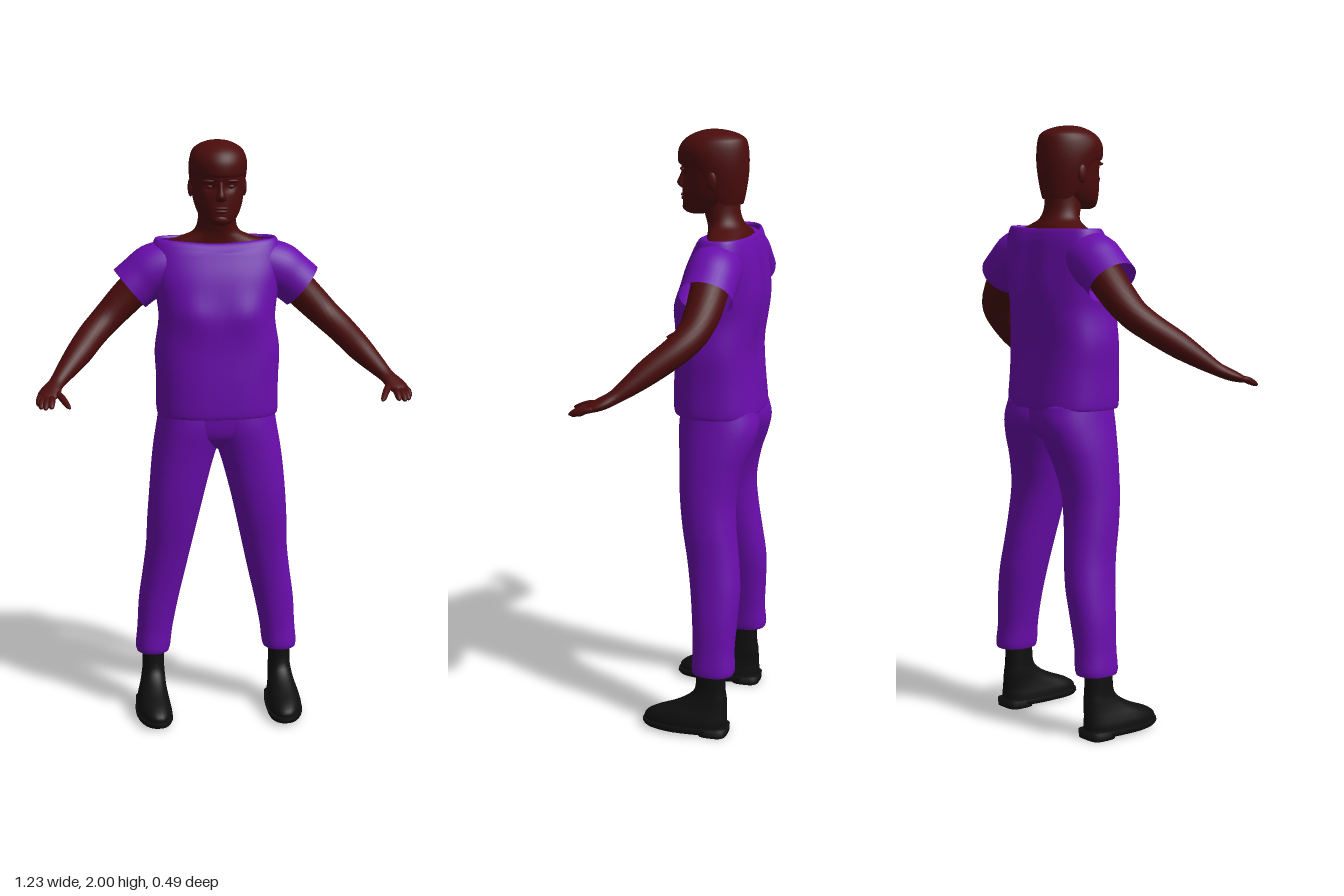
import * as THREE from 'three';

const skin = new THREE.MeshStandardMaterial({ color: 0x4a0c0c, side: THREE.DoubleSide });
const cloth = new THREE.MeshStandardMaterial({ color: 0x6a0dad, side: THREE.DoubleSide });
const leather = new THREE.MeshStandardMaterial({ color: 0x0f0f0f, side: THREE.DoubleSide });
skin.name = 'dark skin'; cloth.name = 'purple cloth'; leather.name = 'black leather';

const UP = new THREE.Vector3(0, 1, 0);
const spline = (a, b, c, d, t) =>
  0.5 * (2 * b + (c - a) * t + (2 * a - 5 * b + 4 * c - d) * t * t + (3 * b - a - 3 * c + d) * t * t * t);

// Smooth skin through rows of [x, y, z, radiusU, radiusV].
// Level rings (listed upward) by default, or rings square to the path when path is true.
function loft(rows, { seg = 32, sub = 4, exp = 2, path = false, cap0 = true, cap1 = true, deform } = {}) {
  const rings = [];
  const last = rows.length - 1;
  const at = (i) => rows[Math.min(Math.max(i, 0), last)];
  for (let i = 0; i < last; i++)
    for (let k = 0; k < sub; k++)
      rings.push(rows[i].map((_, q) => spline(at(i - 1)[q], at(i)[q], at(i + 1)[q], at(i + 2)[q], k / sub)));
  rings.push(rows[last]);
  const centre = (r) => new THREE.Vector3(r[0], r[1], r[2]);
  const pos = [], idx = [], n = rings.length;
  const put = (p) => { if (deform) deform(p); pos.push(p.x, p.y, p.z); };
  const power = (w) => Math.sign(w) * Math.abs(w) ** (2 / exp);
  rings.forEach((r, i) => {
    const u = new THREE.Vector3(1, 0, 0), v = new THREE.Vector3(0, 0, 1);
    if (path) {
      const t = centre(rings[Math.min(i + 1, n - 1)]).sub(centre(rings[Math.max(i - 1, 0)])).normalize();
      u.crossVectors(UP, t).normalize();
      v.crossVectors(u, t);
    }
    for (let j = 0; j < seg; j++) {
      const a = (j / seg) * Math.PI * 2;
      put(centre(r).addScaledVector(u, power(Math.cos(a)) * r[3]).addScaledVector(v, power(Math.sin(a)) * r[4]));
    }
  });
  for (let i = 0; i < n - 1; i++)
    for (let j = 0; j < seg; j++) {
      const a = i * seg + j, b = i * seg + ((j + 1) % seg);
      idx.push(a, a + seg, b, b, a + seg, b + seg);
    }
  const close = (i, flip) => {
    const c = pos.length / 3;
    put(centre(rings[i]));
    for (let j = 0; j < seg; j++) {
      const a = i * seg + j, b = i * seg + ((j + 1) % seg);
      idx.push(c, flip ? b : a, flip ? a : b);
    }
  };
  if (cap0) close(0, false);
  if (cap1) close(n - 1, true);
  const g = new THREE.BufferGeometry();
  g.setAttribute('position', new THREE.Float32BufferAttribute(pos, 3));
  g.setIndex(idx);
  g.computeVertexNormals();
  return g;
}

function mirrored(geo) {
  const g = geo.clone().applyMatrix4(new THREE.Matrix4().makeScale(-1, 1, 1));
  const ix = g.index.array;
  for (let i = 0; i < ix.length; i += 3) [ix[i], ix[i + 1]] = [ix[i + 1], ix[i]];
  g.computeVertexNormals();
  return g;
}

// Row from [y, xMin, xMax, zFront, zBack]
const span = ([y, x0, x1, zf, zb]) => [(x0 + x1) / 2, y, (zf + zb) / 2, (x1 - x0) / 2, (zf - zb) / 2];
// Row symmetric about x = 0 from [y, halfWidth, zFront, zBack]
const mid = ([y, w, zf, zb]) => span([y, -w, w, zf, zb]);
const blob = (x, y, z, a, b, c) => new THREE.SphereGeometry(1, 20, 14).scale(a, b, c).translate(x, y, z);
const bump = (d, w) => Math.exp(-((d / w) ** 2));

export function createModel() {
  const model = new THREE.Group();
  const add = (name, geo, mat) => {
    const m = new THREE.Mesh(geo, mat);
    m.name = name;
    model.add(m);
  };
  const pair = (name, geo, mat) => {
    add('left ' + name, geo, mat);
    add('right ' + name, mirrored(geo), mat);
  };

  // Shirt body, open at hem and neckline, with chest and spine relief
  add('shirt body', loft([
    [1.082, 0.198, 0.04, -0.235], [1.095, 0.206, 0.048, -0.242], [1.2, 0.206, 0.047, -0.232],
    [1.3, 0.21, 0.042, -0.226], [1.4, 0.196, 0.04, -0.235], [1.47, 0.202, 0.028, -0.238],
    [1.55, 0.215, 0.01, -0.234], [1.62, 0.218, -0.02, -0.225], [1.66, 0.209, -0.038, -0.214],
    [1.672, 0.2, -0.055, -0.205], [1.664, 0.192, -0.078, -0.197],
  ].map(mid), {
    seg: 56, exp: 2.6, cap0: false, cap1: false,
    deform: (p) => {
      if (p.z < -0.15) p.z += 0.014 * bump(p.x, 0.03) * bump(p.y - 1.42, 0.2) - 0.012 * bump(Math.abs(p.x) - 0.07, 0.05) * bump(p.y - 1.48, 0.12);
      else if (p.z > -0.06) p.z += 0.014 * bump(Math.abs(p.x) - 0.09, 0.06) * bump(p.y - 1.44, 0.06);
      if (p.y > 1.64) p.y -= 0.012 * bump(p.x, 0.12) * (p.z > -0.12 ? 1 : 0.3);
    },
  }), cloth);

  // Short flared sleeves
  pair('sleeve', loft([
    [0.1, 1.585, -0.122, 0.075, 0.075], [0.16, 1.58, -0.122, 0.085, 0.085], [0.21, 1.563, -0.122, 0.088, 0.09],
    [0.25, 1.537, -0.122, 0.086, 0.084], [0.291, 1.504, -0.12, 0.088, 0.082],
  ], { path: true, cap0: false, cap1: false }), cloth);

  // Trouser legs and seat
  pair('trouser leg', loft([
    [0.215, 0.168, 0.282, -0.062, -0.2], [0.235, 0.163, 0.284, -0.058, -0.204], [0.3, 0.155, 0.278, -0.06, -0.2],
    [0.4, 0.135, 0.272, -0.054, -0.206], [0.5, 0.112, 0.258, -0.043, -0.21], [0.6, 0.09, 0.246, -0.028, -0.2],
    [0.7, 0.068, 0.242, -0.01, -0.187], [0.8, 0.045, 0.235, 0.003, -0.183], [0.9, 0.019, 0.226, 0.01, -0.203],
    [0.97, -0.004, 0.217, 0.015, -0.228], [1.04, -0.03, 0.205, 0.02, -0.245], [1.1, -0.04, 0.196, 0.015, -0.232],
  ].map(span), { exp: 2.25, cap0: false }), cloth);
  add('trouser seat', loft([
    [0.96, 0.03, -0.05, -0.15], [0.985, 0.09, -0.01, -0.195], [1.03, 0.175, 0.015, -0.225], [1.13, 0.19, 0.02, -0.22],
  ].map(mid), { exp: 2.4 }), cloth);

  // Ankle boots: upper, sole and heel
  pair('boot upper', loft([
    [0.02, 0.17, 0.289, 0.108, -0.178], [0.045, 0.172, 0.288, 0.108, -0.18], [0.068, 0.177, 0.282, 0.075, -0.179],
    [0.095, 0.182, 0.273, 0.008, -0.178], [0.125, 0.184, 0.266, -0.045, -0.177], [0.16, 0.186, 0.262, -0.07, -0.172],
    [0.24, 0.186, 0.262, -0.074, -0.17],
  ].map(span), { exp: 2.3, deform: (p) => { if (p.z > 0) p.x -= p.z * 0.08; } }), leather);
  pair('boot sole', loft([
    [0.008, 0.17, 0.289, 0.108, -0.18], [0.018, 0.166, 0.293, 0.117, -0.184], [0.03, 0.168, 0.291, 0.115, -0.183],
  ].map(span), { exp: 2.4, sub: 2, deform: (p) => { if (p.z > 0) p.x -= p.z * 0.08; } }), leather);
  pair('boot heel', loft([
    [0, 0.175, 0.286, -0.085, -0.183], [0.025, 0.175, 0.286, -0.08, -0.185],
  ].map(span), { exp: 3.5, sub: 1 }), leather);

  // Arms running into flat palms
  pair('arm', loft([
    [0.17, 1.585, -0.122, 0.06, 0.06], [0.24, 1.535, -0.122, 0.062, 0.06], [0.31, 1.468, -0.118, 0.059, 0.056],
    [0.37, 1.408, -0.1, 0.053, 0.05], [0.42, 1.362, -0.06, 0.049, 0.046], [0.47, 1.31, 0.005, 0.044, 0.042],
    [0.515, 1.265, 0.06, 0.034, 0.031], [0.545, 1.235, 0.1, 0.027, 0.022], [0.565, 1.217, 0.135, 0.035, 0.019],
    [0.577, 1.205, 0.165, 0.034, 0.014], [0.583, 1.2, 0.18, 0.024, 0.008],
  ], { seg: 24, path: true }), skin);

  // Fingers and thumb: knuckle point, then tip
  [
    ['little finger', [0.598, 1.205, 0.155], [0.606, 1.186, 0.203]],
    ['ring finger', [0.59, 1.203, 0.165], [0.598, 1.181, 0.224]],
    ['middle finger', [0.576, 1.203, 0.17], [0.584, 1.18, 0.237]],
    ['index finger', [0.561, 1.205, 0.17], [0.565, 1.182, 0.232]],
    ['thumb', [0.553, 1.217, 0.13], [0.506, 1.184, 0.245]],
  ].forEach(([name, a, b]) => {
    const rows = [[0, 0.011], [0.5, 0.0115], [0.85, 0.009], [1, 0.003]].map(([t, r]) =>
      [...a.map((w, q) => w + (b[q] - w) * t), r, r * 0.9]);
    rows[1][1] += 0.004;
    pair(name, loft(rows, { seg: 12, sub: 3, path: true }), skin);
  });

  // Neck spreading into the shoulders inside the neckline
  add('neck and shoulders', loft([
    [1.56, 0.18, -0.05, -0.195], [1.63, 0.19, -0.055, -0.195], [1.658, 0.172, -0.058, -0.192],
    [1.68, 0.115, -0.055, -0.182], [1.7, 0.076, -0.05, -0.168], [1.74, 0.063, -0.038, -0.156], [1.82, 0.062, -0.03, -0.155],
  ].map(mid), {}), skin);

  // Head with eye sockets pressed in
  add('head', loft([
    [1.728, 0.022, 0.012, -0.04], [1.737, 0.045, 0.028, -0.08], [1.76, 0.065, 0.033, -0.125], [1.8, 0.08, 0.034, -0.155],
    [1.85, 0.087, 0.034, -0.172], [1.9, 0.089, 0.039, -0.178], [1.94, 0.085, 0.03, -0.172], [1.97, 0.066, 0.002, -0.145],
    [1.985, 0.03, -0.04, -0.11],
  ].map(mid), {
    seg: 64, sub: 6, exp: 2.15,
    deform: (p) => { if (p.z > -0.04) p.z -= 0.012 * bump(Math.abs(p.x) - 0.034, 0.018) * bump(p.y - 1.857, 0.014); },
  }), skin);

  // Cropped hair: fringe high in front, lower edge dropping to the nape
  add('hair', loft([
    [1.888, 0.09, 0.045, -0.186], [1.9, 0.094, 0.05, -0.188], [1.935, 0.097, 0.048, -0.188], [1.965, 0.086, 0.03, -0.178],
    [1.985, 0.062, 0, -0.152], [1.997, 0.032, -0.035, -0.11], [2, 0.004, -0.066, -0.074],
  ].map(mid), {
    seg: 48, cap0: false,
    deform: (p) => {
      const low = Math.max(0, 1 - (p.y - 1.888) / 0.08);
      const back = THREE.MathUtils.smoothstep(-p.z, 0.02, 0.15);
      p.y -= 0.125 * back * low;
      p.x *= 1 - 0.14 * back * low * low;
      p.z += 0.02 * back * low * low;
    },
  }), skin);

  // Face details
  add('nose', loft([
    [1.808, 0.01, 0.04, 0.015], [1.816, 0.018, 0.05, 0.015], [1.828, 0.015, 0.056, 0.015],
    [1.85, 0.01, 0.046, 0.015], [1.875, 0.009, 0.037, 0.015],
  ].map(mid), { seg: 20 }), skin);
  add('upper lip', blob(0, 1.788, 0.031, 0.026, 0.006, 0.01), skin);
  add('lower lip', blob(0, 1.777, 0.03, 0.023, 0.007, 0.01), skin);
  add('chin', blob(0, 1.75, 0.022, 0.026, 0.016, 0.014), skin);
  pair('eye', blob(0.034, 1.856, 0.013, 0.014, 0.008, 0.009), skin);
  pair('brow', blob(0.035, 1.876, 0.026, 0.024, 0.006, 0.011).rotateY(0.06), skin);
  pair('ear', blob(0.088, 1.845, -0.082, 0.01, 0.031, 0.018), skin);
  return model;
}
